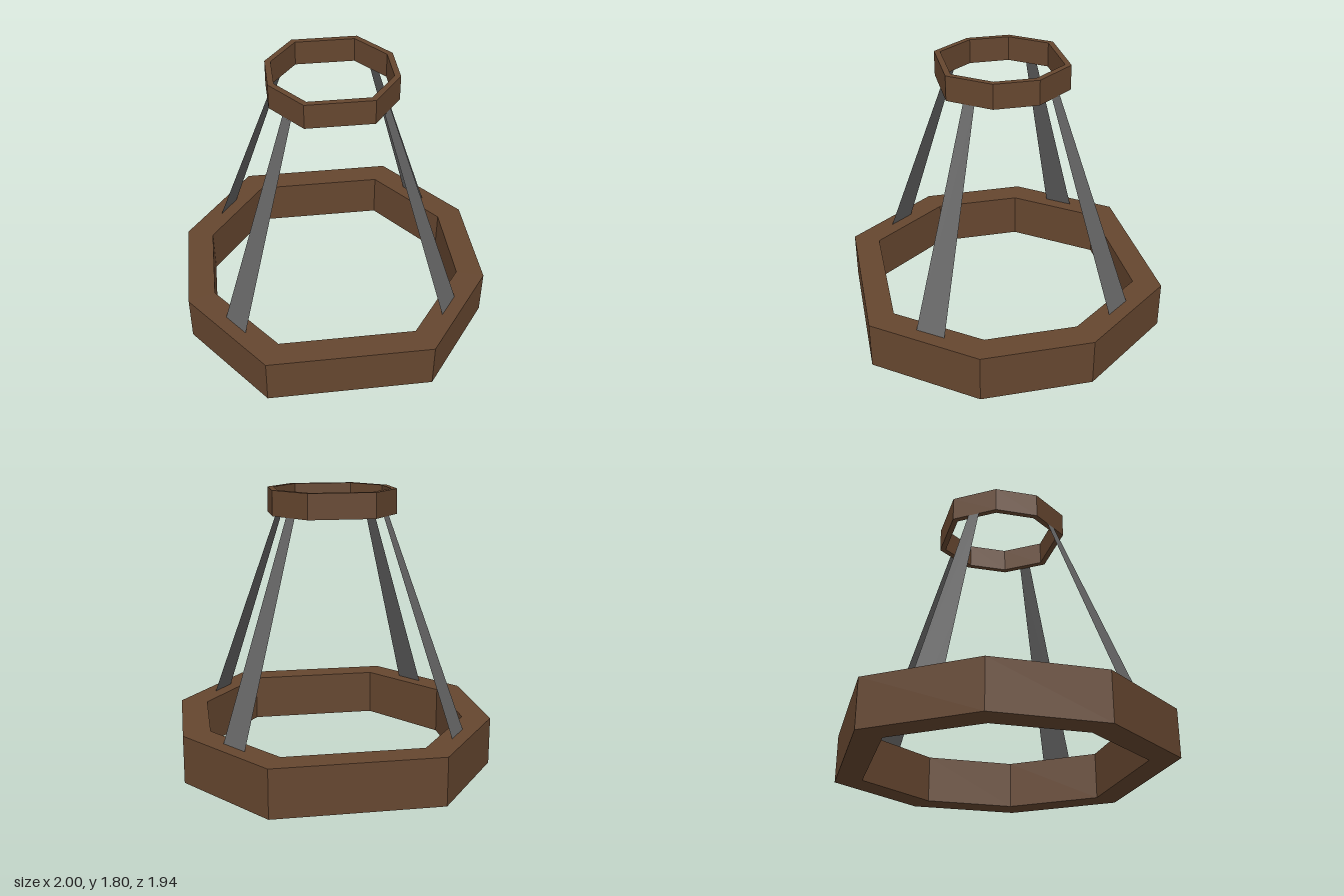
import * as THREE from 'three';

// Eight corners of an octagon with flat sides at x = ±a and z = ±d
function octagon(a, b, c, d) {
  return [[a, b], [c, d], [-c, d], [-a, b], [-a, -b], [-c, -d], [c, -d], [a, -b]]
    .map(([x, y]) => new THREE.Vector2(x, y));
}

// Octagonal ring standing on height y
function makeRing(name, outer, inner, y, height, material) {
  const shape = new THREE.Shape(octagon(...outer));
  shape.holes.push(new THREE.Path(octagon(...inner).reverse()));
  const geometry = new THREE.ExtrudeGeometry(shape, { depth: height, bevelEnabled: false });
  geometry.rotateX(-Math.PI / 2);
  geometry.translate(0, y, 0);
  const mesh = new THREE.Mesh(geometry, material);
  mesh.name = name;
  return mesh;
}

// Flat tapering strap, mirrored into the quadrant given by sx and sz
function makeStrap(name, sx, sz, material) {
  const corners = [[0.64, 0.312, 0.685], [0.757, 0.312, 0.53], [0.324, 1.645, 0.238], [0.279, 1.645, 0.298]];
  const geometry = new THREE.BufferGeometry();
  geometry.setAttribute('position', new THREE.Float32BufferAttribute(
    corners.flatMap(([x, y, z]) => [x * sx, y, z * sz]), 3));
  // Keep the front face outward after mirroring
  geometry.setIndex(sx * sz > 0 ? [0, 1, 2, 0, 2, 3] : [0, 2, 1, 0, 3, 2]);
  geometry.computeVertexNormals();
  const mesh = new THREE.Mesh(geometry, material);
  mesh.name = name;
  return mesh;
}

export function createModel() {
  const wood = new THREE.MeshStandardMaterial({ color: 0x65462f });
  wood.name = 'brown wood';
  const metal = new THREE.MeshStandardMaterial({ color: 0x646464, side: THREE.DoubleSide });
  metal.name = 'grey metal';

  const group = new THREE.Group();
  group.name = 'octagonalFrame';

  // Wide lower ring and narrow upper ring
  group.add(makeRing('lowerRing', [1, 0.358, 0.532, 0.97], [0.826, 0.296, 0.44, 0.803], 0, 0.312, wood));
  group.add(makeRing('upperRing', [0.398, 0.141, 0.21, 0.387], [0.361, 0.129, 0.191, 0.351], 1.645, 0.16, wood));

  // Four straps joining the rings
  for (const sx of [1, -1]) {
    for (const sz of [1, -1]) {
      group.add(makeStrap(`${sz > 0 ? 'front' : 'back'}${sx > 0 ? 'Left' : 'Right'}Strap`, sx, sz, metal));
    }
  }
  return group;
}
